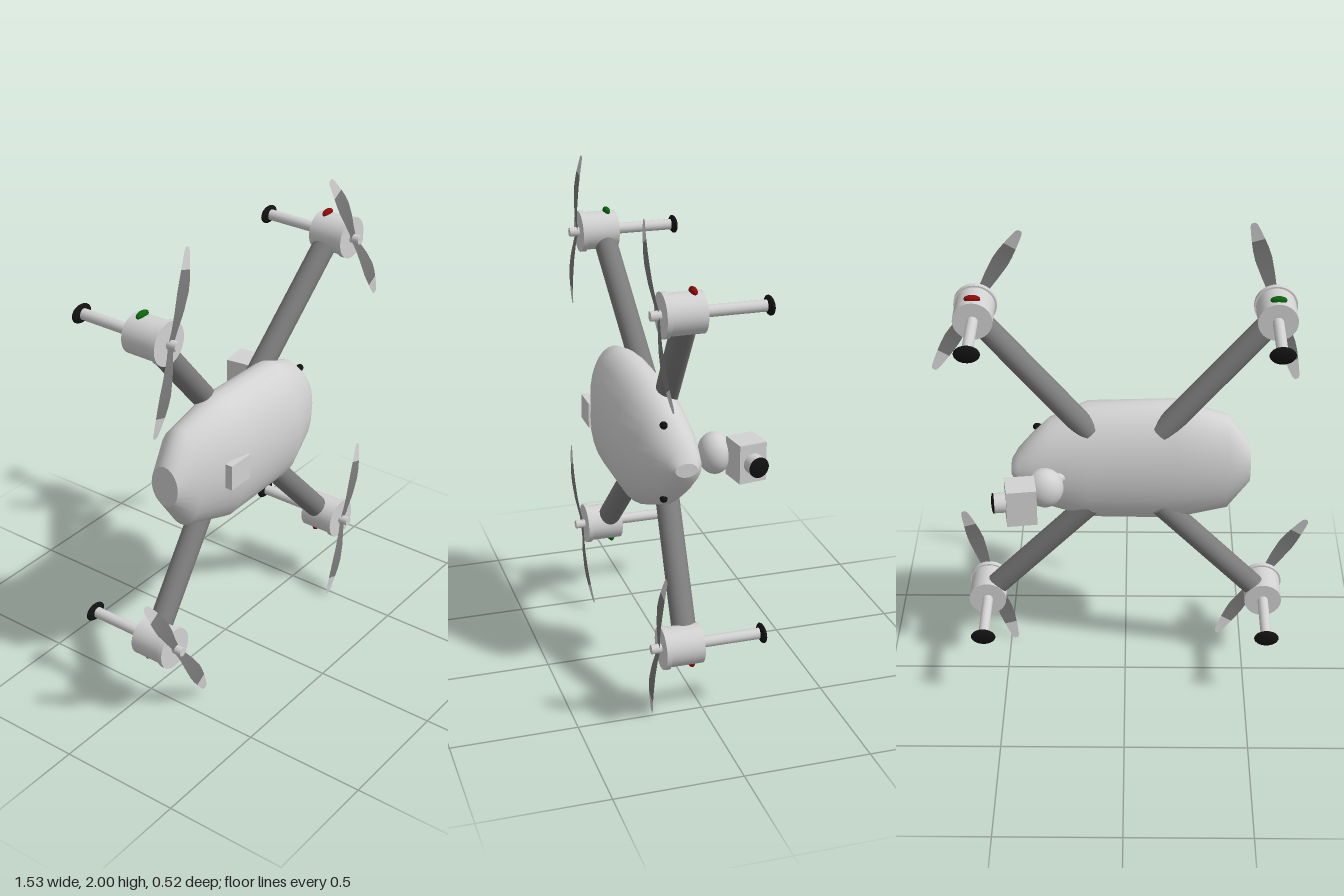
import * as THREE from 'three';

const mat = (name, color, side = THREE.FrontSide) => {
  const m = new THREE.MeshStandardMaterial({ color, side });
  m.name = name;
  return m;
};

export function createModel() {
  const light = mat('light grey', 0xd2d2d2);
  const dark = mat('dark grey', 0x7c7c7c);
  const black = mat('black', 0x111111);
  const red = mat('red', 0x8c0a0a);
  const green = mat('green', 0x0a640a);
  dark.side = THREE.DoubleSide;
  light.side = THREE.DoubleSide;

  const drone = new THREE.Group();
  drone.name = 'drone';

  const add = (parent, name, geo, material, x = 0, y = 0, z = 0) => {
    const m = new THREE.Mesh(geo, material);
    m.name = name;
    m.position.set(x, y, z);
    parent.add(m);
    return m;
  };
  const ellipsoid = (rx, ry, rz) => new THREE.SphereGeometry(1, 20, 14).scale(rx, ry, rz);
  // cylinder along z from z0 to z1
  const rodZ = (r, z0, z1, seg = 24) =>
    new THREE.CylinderGeometry(r, r, z1 - z0, seg).rotateX(Math.PI / 2).translate(0, 0, (z0 + z1) / 2);
  // cylinder between two points
  const rod = (a, b, r, seg = 20) => {
    const d = b.clone().sub(a);
    const g = new THREE.CylinderGeometry(r, r, d.length(), seg);
    g.applyQuaternion(new THREE.Quaternion().setFromUnitVectors(new THREE.Vector3(0, 1, 0), d.normalize()));
    return g.translate((a.x + b.x) / 2, (a.y + b.y) / 2, (a.z + b.z) / 2);
  };

  // body: elliptical sections along x as [x, half height, z min, z max]
  const sections = [
    [-0.5, 0.085, 0.03, 0.155], [-0.41, 0.212, -0.01, 0.197], [-0.2, 0.272, -0.03, 0.253],
    [0.15, 0.262, -0.042, 0.258], [0.3, 0.2, -0.035, 0.208], [0.365, 0.143, -0.028, 0.167],
    [0.425, 0.078, -0.016, 0.122], [0.452, 0.028, 0.008, 0.095],
  ];
  const N = 28, pos = [], idx = [];
  for (const [x, h, z0, z1] of sections) {
    for (let i = 0; i < N; i++) {
      const a = (i / N) * Math.PI * 2;
      pos.push(x, 1 + h * Math.cos(a), (z0 + z1) / 2 + ((z1 - z0) / 2) * Math.sin(a));
    }
  }
  for (let s = 0; s < sections.length - 1; s++) {
    for (let i = 0; i < N; i++) {
      const a = s * N + i, b = s * N + ((i + 1) % N), c = a + N, d = b + N;
      idx.push(a, b, c, b, d, c);
    }
  }
  // idx winding: section angle runs from +y to +z, so reverse to face outwards
  for (let i = 0; i < idx.length; i += 3) [idx[i + 1], idx[i + 2]] = [idx[i + 2], idx[i + 1]];
  const hull = new THREE.BufferGeometry();
  hull.setAttribute('position', new THREE.Float32BufferAttribute(pos, 3));
  hull.setIndex(idx);
  hull.computeVertexNormals();
  add(drone, 'body', hull, light);

  // flat ends of the body
  for (const [s, turn, name] of [[0, -1, 'tailCap'], [sections.length - 1, 1, 'noseCap']]) {
    const [x, h, z0, z1] = sections[s];
    const cap = new THREE.CircleGeometry(1, N).rotateY(turn * Math.PI / 2).scale(1, h, (z1 - z0) / 2);
    add(drone, name, cap, light, x, 1, (z0 + z1) / 2);
  }
  add(drone, 'topPlate', new THREE.BoxGeometry(0.116, 0.104, 0.03), light, -0.248, 1.003, 0.246);
  for (const s of [1, -1]) add(drone, 'noseSensor', ellipsoid(0.018, 0.015, 0.015), black, 0.35, 1 + s * 0.15, 0.11);

  // one propeller blade section, bowed slightly forward; rows are [distance, half width]
  const blade = (rows) => {
    const p = [], f = [];
    rows.forEach(([r, w], k) => {
      const z = 0.198 + 0.014 * Math.sin((Math.PI * r) / 0.35);
      p.push(r, -w, z, r, w, z);
      if (k) f.push(2 * k - 2, 2 * k, 2 * k - 1, 2 * k - 1, 2 * k, 2 * k + 1);
    });
    const g = new THREE.BufferGeometry();
    g.setAttribute('position', new THREE.Float32BufferAttribute(p, 3));
    g.setIndex(f);
    g.computeVertexNormals();
    return g;
  };
  const bladeGeo = blade([[0, 0.016], [0.05, 0.018], [0.12, 0.027], [0.19, 0.033], [0.23, 0.031], [0.27, 0.026]]);
  const tipGeo = blade([[0.27, 0.026], [0.31, 0.02], [0.34, 0.014], [0.35, 0.007]]);

  // four arms with motor, propeller, leg and lamp
  for (const sx of [1, -1]) {
    for (const sy of [1, -1]) {
      const unit = new THREE.Group();
      unit.name = 'rotorUnit';
      unit.position.set(sx * 0.578, 1 + sy * 0.66, 0);
      drone.add(unit);

      add(drone, 'arm', rod(
        new THREE.Vector3(sx * 0.56, 1 + sy * 0.64, 0.09),
        new THREE.Vector3(sx * 0.14, 1 + sy * 0.17, 0.04), 0.047), dark);
      add(unit, 'motor', rodZ(0.077, 0.037, 0.18, 32), light);
      add(unit, 'motorFlange', rodZ(0.084, 0.17, 0.19, 32), light);
      add(unit, 'shaft', rodZ(0.019, 0.18, 0.23, 8), light);
      add(unit, 'leg', rodZ(0.022, -0.21, 0.04, 16), light);
      add(unit, 'foot', ellipsoid(0.05, 0.036, 0.014), black, 0, 0, -0.214);
      add(unit, 'lamp', ellipsoid(0.032, 0.016, 0.014), sx > 0 ? red : green, 0, sy * 0.078, 0.072);

      const propeller = new THREE.Group();
      propeller.name = 'propeller';
      propeller.rotation.z = THREE.MathUtils.degToRad(sx * sy < 0 ? 73.5 : 121);
      unit.add(propeller);
      for (const turn of [0, Math.PI]) {
        add(propeller, 'blade', bladeGeo, dark).rotation.z = turn;
        add(propeller, 'bladeTip', tipGeo, light).rotation.z = turn;
      }
    }
  }

  // gimbal camera under the nose
  add(drone, 'gimbalMount', rod(new THREE.Vector3(0.255, 1, -0.02), new THREE.Vector3(0.3, 1, -0.08), 0.025), light);
  add(drone, 'gimbalBall', ellipsoid(0.075, 0.083, 0.065), light, 0.315, 1, -0.102);
  const camera = new THREE.Group();
  camera.name = 'cameraHead';
  camera.position.set(0.403, 1.002, -0.2);
  camera.rotation.y = THREE.MathUtils.degToRad(8);
  drone.add(camera);
  add(camera, 'cameraBox', new THREE.BoxGeometry(0.117, 0.155, 0.112), light);
  const lensAxis = (x) => new THREE.Vector3(x, 0, 0);
  add(camera, 'lensBarrel', rod(lensAxis(0.04), lensAxis(0.104), 0.04, 16), light);
  add(camera, 'lens', ellipsoid(0.008, 0.041, 0.041), black, 0.106);

  return drone;
}
